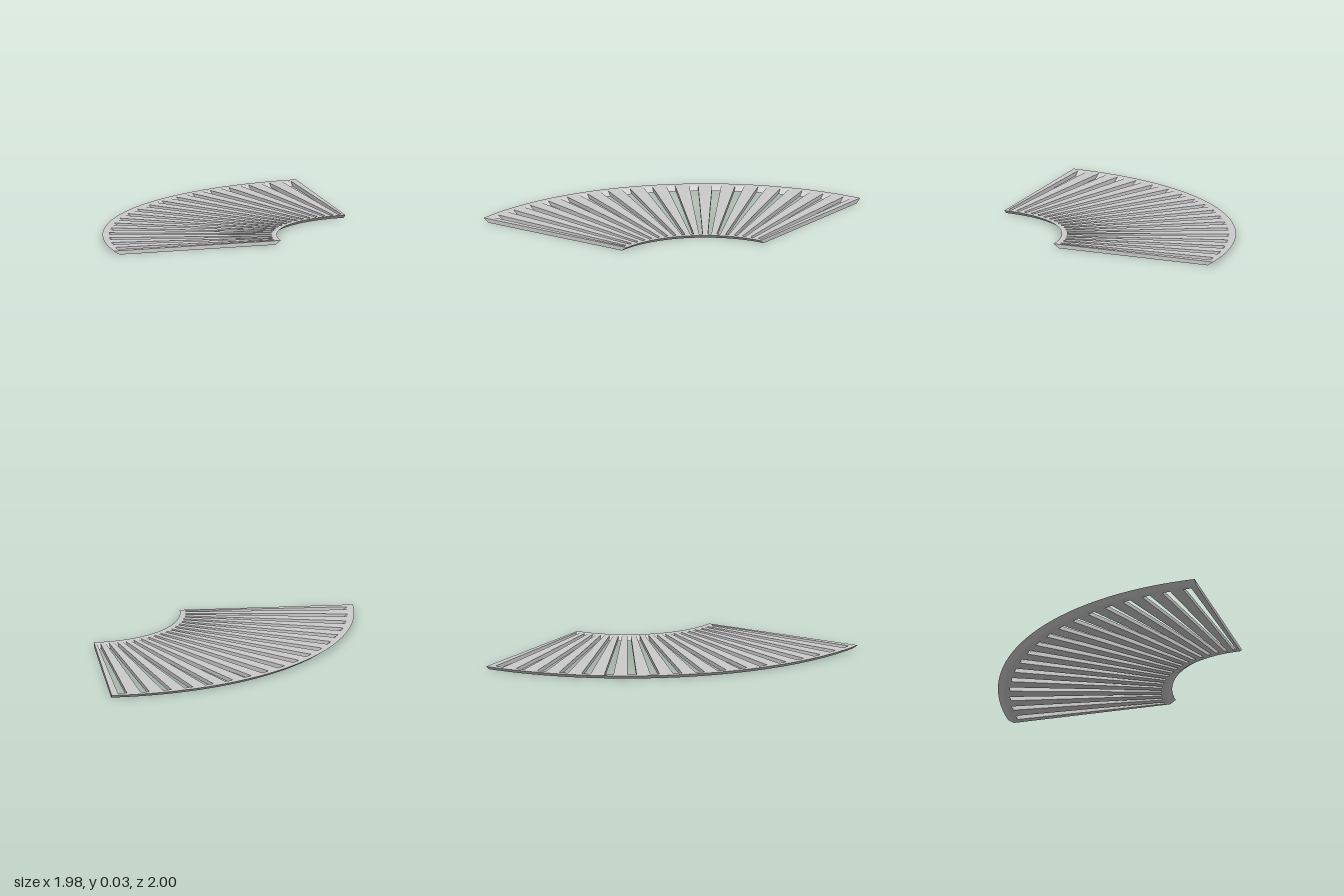
import * as THREE from 'three';
import { toCreasedNormals } from 'three/addons/utils/BufferGeometryUtils.js';

const DEG = Math.PI / 180;
const OUTER = 1.985, INNER = 0.705;           // rim radii on the top face
const SLOT_OUTER = 1.94, SLOT_INNER = 0.742;  // slot ends on the top face
const HEIGHT = 0.03, UNDERCUT = 0.043;        // rims lean in towards the underside
const START = 90.43, SWEEP = 90;              // quarter ring, in degrees
const SLOTS = 18, SLOT_ANGLE = 1.95;
const ARC_STEPS = 36;

const polar = (r, deg) => new THREE.Vector2(r * Math.cos(deg * DEG), r * Math.sin(deg * DEG));

export function createModel() {
  // Quarter ring outline
  const outer = [], inner = [];
  for (let i = 0; i <= ARC_STEPS; i++) {
    const a = START + (SWEEP * i) / ARC_STEPS;
    outer.push(polar(OUTER, a));
    inner.unshift(polar(INNER, a));
  }
  const shape = new THREE.Shape([...outer, ...inner]);

  // Radial slots, leaving a fan of tapering bars
  const pitch = SWEEP / SLOTS;
  for (let i = 0; i < SLOTS; i++) {
    const mid = START + (i + 0.5) * pitch;
    const a = mid - SLOT_ANGLE / 2, b = mid + SLOT_ANGLE / 2;
    shape.holes.push(new THREE.Path([
      polar(SLOT_INNER, a), polar(SLOT_INNER, b), polar(SLOT_OUTER, b), polar(SLOT_OUTER, a),
    ]));
  }

  let geometry = new THREE.ExtrudeGeometry(shape, { depth: HEIGHT, bevelEnabled: false });

  // Slide the underside along the radius so both rims and the slot ends slope
  const pos = geometry.attributes.position;
  const middle = (OUTER + INNER) / 2;
  for (let i = 0; i < pos.count; i++) {
    if (pos.getZ(i) > HEIGHT / 2) continue;
    const x = pos.getX(i), y = pos.getY(i), r = Math.hypot(x, y);
    const k = (r + (r > middle ? -UNDERCUT : UNDERCUT)) / r;
    pos.setXY(i, x * k, y * k);
  }

  // Lay flat and centre
  geometry.rotateX(-Math.PI / 2);
  geometry.translate(0.995, 0, 0.985);
  geometry = toCreasedNormals(geometry, 20 * DEG);

  const grate = new THREE.Mesh(geometry, new THREE.MeshStandardMaterial({ color: 0xcccccc }));
  grate.name = 'curvedGrate';

  const group = new THREE.Group();
  group.name = 'quarterRingGrate';
  group.add(grate);
  return group;
}
